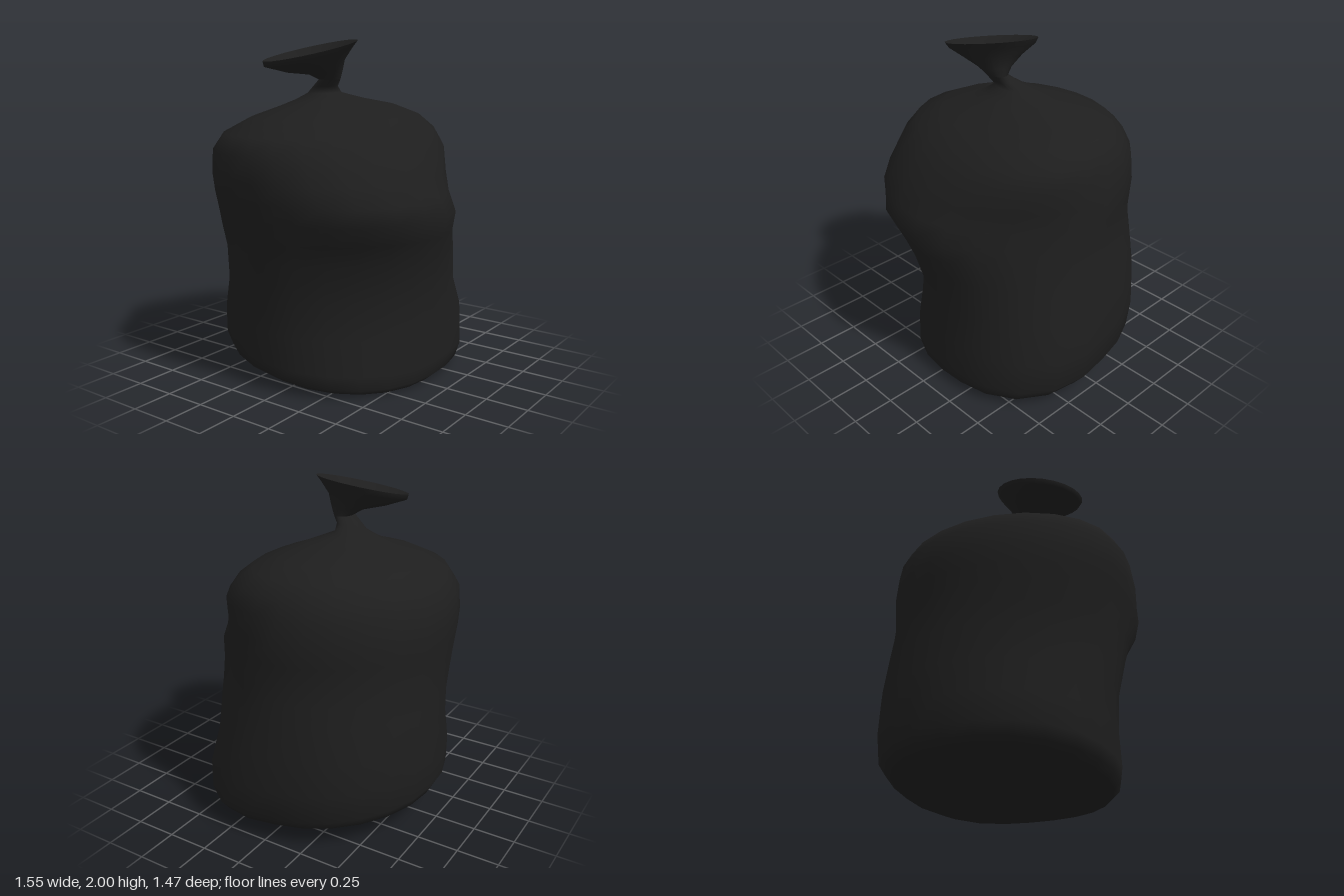
import * as THREE from 'three';

const SIDES = 24;

// Dents and swellings: direction (degrees from +x to +z), height, spread, amount
const BULGES = [
  [40, 0.22, 0.38, 0.14], [45, 1.05, 0.24, -0.1], [45, 1.48, 0.18, 0.11],
  [135, 0.6, 0.36, -0.095], [135, 1.13, 0.17, 0.09],
  [225, 0.22, 0.25, 0.06], [225, 0.66, 0.2, -0.03], [225, 1.08, 0.25, 0.03],
  [315, 0.55, 0.35, 0.015], [315, 1.3, 0.22, -0.015],
];

function bulge(angle, y) {
  return BULGES.reduce((sum, [degrees, height, spread, amount]) => {
    const offset = angle - THREE.MathUtils.degToRad(degrees);
    const facing = Math.cos(offset) > 0 ? Math.max(0, Math.cos(2 * offset)) ** 1.4 : 0;
    return sum + amount * facing * Math.exp(-(((y - height) / spread) ** 2));
  }, 1);
}

// One point of an oval section with the given extents; the base rises to the back
function sectionPoint([y, x0, x1, z0, z1, tilt = 0], angle) {
  const k = bulge(angle, y);
  const dx = k * (x1 - x0) / 2 * Math.cos(angle);
  const dz = k * (z1 - z0) / 2 * Math.sin(angle);
  const z = (z0 + z1) / 2 + dz;
  const back = Math.max(0, (0.5 - z) / 1.2) ** 1.3;
  const lift = 0.13 * back * Math.max(0, 1 - y / 0.7);
  return [(x0 + x1) / 2 + dx, y + lift + tilt * (0.2 * dx + 0.12 * dz), z];
}

// Skin a stack of sections
function skin(sections) {
  const pos = [], index = [];
  sections.forEach((section, j) => {
    for (let i = 0; i < SIDES; i++) {
      pos.push(...sectionPoint(section, (i / SIDES) * Math.PI * 2));
      if (j === sections.length - 1) continue;
      const a = j * SIDES + i, b = j * SIDES + (i + 1) % SIDES;
      index.push(a, a + SIDES, b, b, a + SIDES, b + SIDES);
    }
  });
  const g = new THREE.BufferGeometry();
  g.setAttribute('position', new THREE.Float32BufferAttribute(pos, 3));
  g.setIndex(index);
  g.computeVertexNormals();
  return g;
}

export function createModel() {
  const model = new THREE.Group();
  const plastic = new THREE.MeshStandardMaterial({ color: 0x1e1e1e });
  plastic.name = 'black plastic';

  const add = (name, sections) => {
    const mesh = new THREE.Mesh(skin(sections), plastic);
    mesh.name = name;
    model.add(mesh);
  };

  // Sections are: height, x from, x to, z from, z to, tilt
  const tie = [1.77, -0.2, -0.05, -0.06, 0.05];
  const rim = [1.936, -0.5, 0.04, -0.34, 0.21, 1];

  // Full sack with a sagging fold across the front, gathered up to the tie
  add('bagBody', [
    [0, 0, 0, 0, 0],
    [0.002, -0.4, 0.42, -0.42, 0.45],
    [0.015, -0.57, 0.6, -0.6, 0.59],
    [0.05, -0.62, 0.69, -0.69, 0.63],
    [0.13, -0.64, 0.745, -0.725, 0.635],
    [0.33, -0.645, 0.76, -0.73, 0.625],
    [0.55, -0.67, 0.745, -0.73, 0.615],
    [0.78, -0.705, 0.73, -0.718, 0.665],
    [0.9, -0.72, 0.715, -0.718, 0.7],
    [1.02, -0.735, 0.71, -0.722, 0.737],
    [1.12, -0.75, 0.712, -0.73, 0.69],
    [1.23, -0.768, 0.715, -0.735, 0.635],
    [1.37, -0.77, 0.69, -0.72, 0.56],
    [1.47, -0.71, 0.645, -0.65, 0.46],
    [1.55, -0.53, 0.58, -0.54, 0.355],
    [1.61, -0.33, 0.46, -0.4, 0.2],
    [1.65, -0.25, 0.22, -0.27, 0.1],
    [1.69, -0.19, 0.05, -0.17, 0],
    [1.73, -0.195, -0.03, -0.11, 0.02],
    tie,
  ]);

  // Flared outer side of the open mouth
  add('mouthOutside', [
    tie,
    [1.81, -0.25, -0.045, -0.11, 0.08, 0.5],
    [1.85, -0.37, -0.03, -0.22, 0.12, 1],
    [1.9, -0.49, 0.02, -0.33, 0.18, 1],
    rim,
  ]);

  // Hollow inside of the mouth, running down to the pinch
  add('mouthInside', [
    rim,
    [1.91, -0.46, 0, -0.29, 0.17, 1],
    [1.865, -0.33, -0.07, -0.17, 0.08, 1],
    [1.81, -0.2, -0.15, -0.075, -0.025],
    [1.8, -0.175, -0.175, -0.05, -0.05],
  ]);

  return model;
}
